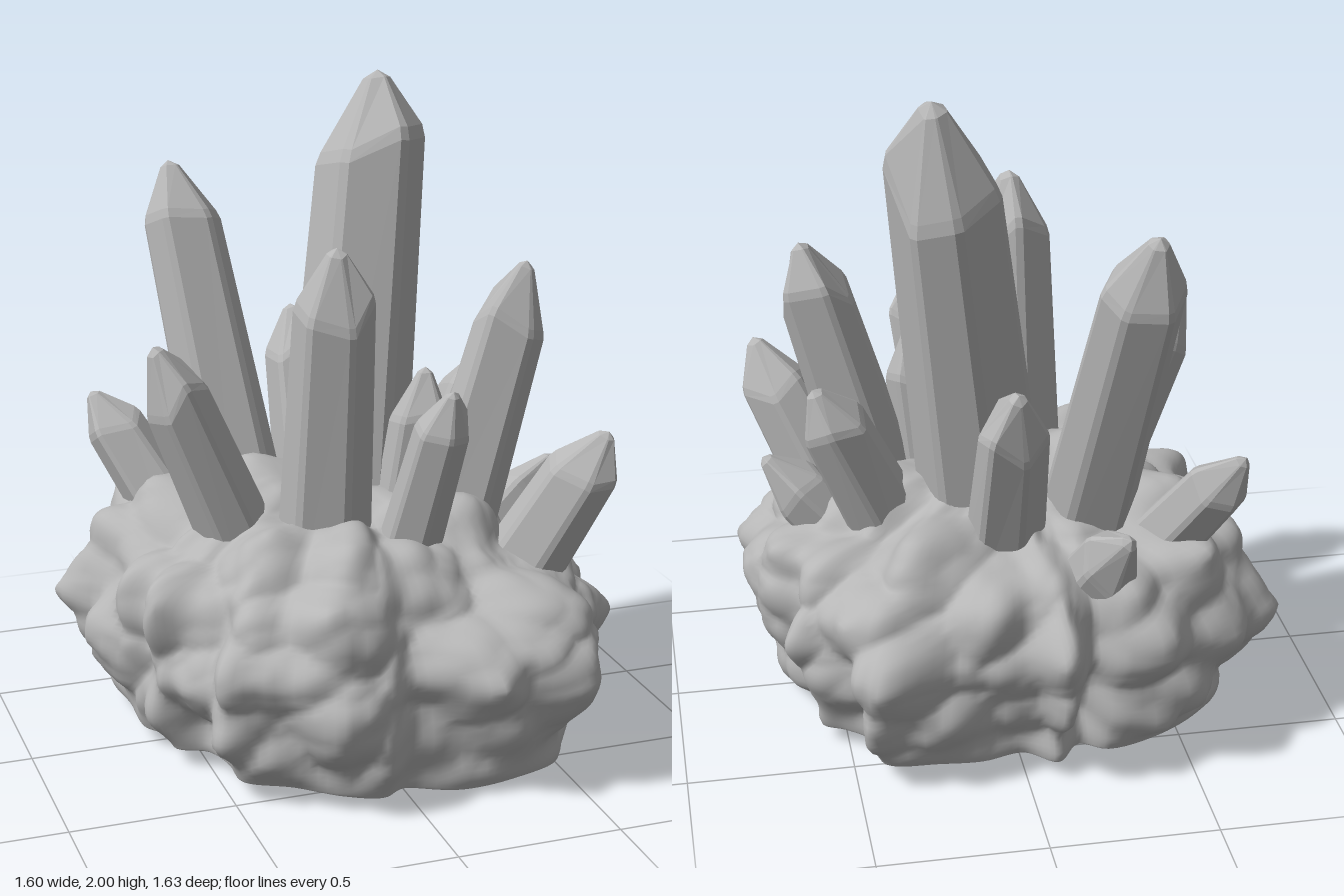
import * as THREE from 'three';

const stone = new THREE.MeshStandardMaterial({ color: 0xb6b6b6 });
stone.name = 'grey stone';

// small repeatable hash, 0..1
const hash = (x, y, z) => {
  const s = Math.sin(x * 127.1 + y * 311.7 + z * 74.7) * 43758.5453;
  return s - Math.floor(s);
};

// distance to the nearest scattered point: gives lumps with creases between
function lumps(p, cell) {
  const q = p.clone().divideScalar(cell);
  const fx = Math.floor(q.x), fy = Math.floor(q.y), fz = Math.floor(q.z);
  let best = 9;
  for (let i = fx - 1; i <= fx + 1; i++)
    for (let j = fy - 1; j <= fy + 1; j++)
      for (let k = fz - 1; k <= fz + 1; k++) {
        const d = Math.hypot(
          i + hash(i, j, k) - q.x,
          j + hash(j + 17, k, i) - q.y,
          k + hash(k + 41, i, j) - q.z);
        best = Math.min(best, d);
      }
  return best;
}

// skin a list of closed rings, listed from bottom to top
function loft(rings) {
  const n = rings[0].length, index = [];
  for (let i = 0; i < rings.length - 1; i++)
    for (let j = 0; j < n; j++) {
      const a = i * n + j, b = i * n + (j + 1) % n;
      index.push(a, a + n, b, b, a + n, b + n);
    }
  const g = new THREE.BufferGeometry().setFromPoints(rings.flat());
  g.setIndex(index);
  return g;
}

// rugged rock: a rounded profile swept round an uneven outline
function rockGeometry() {
  const outline = [
    [0.79, 0], [0.73, 0.1], [0.74, 0.35], [0.68, 0.5], [0.6, 0.65], [0.53, 0.75], [0.35, 0.78],
    [0.2, 0.76], [0, 0.69], [-0.12, 0.78], [-0.25, 0.75], [-0.4, 0.64], [-0.55, 0.55],
    [-0.56, 0.4], [-0.6, 0.28], [-0.7, 0.22], [-0.7, 0.1], [-0.76, 0.01], [-0.76, -0.2],
    [-0.77, -0.42], [-0.67, -0.55], [-0.5, -0.67], [-0.3, -0.73], [-0.2, -0.68], [-0.11, -0.78],
    [0, -0.7], [0.15, -0.73], [0.3, -0.72], [0.49, -0.69], [0.52, -0.53], [0.6, -0.45],
    [0.68, -0.4], [0.65, -0.25], [0.72, -0.15],
  ].map(([x, z]) => new THREE.Vector3(x, 0, z));
  const edge = new THREE.CatmullRomCurve3(outline, true, 'centripetal').getPoints(204).slice(0, -1);
  const profile = new THREE.SplineCurve([
    [0, 0.05], [0.5, 0.05], [0.8, 0.05], [0.86, 0.07], [0.92, 0.18], [0.97, 0.3], [0.99, 0.4],
    [0.95, 0.51], [0.87, 0.6], [0.72, 0.67], [0.53, 0.75], [0.3, 0.81], [0, 0.83],
  ].map(([r, y]) => new THREE.Vector2(r, y))).getPoints(84);

  const rings = profile.map(({ x: r, y }) => edge.map((e) => {
    const p = new THREE.Vector3(e.x * r, y, e.z * r);
    const out = new THREE.Vector3(p.x, (y - 0.3) * 1.2, p.z).normalize();
    const rough = THREE.MathUtils.smoothstep(y, 0.05, 0.16);
    const d = 0.068 - 0.155 * lumps(p, 0.25) + 0.012 - 0.03 * lumps(p, 0.12);
    p.addScaledVector(out, d * rough);
    // top leans down to the front left, underside sags a little at the front
    p.y -= (0.03 * p.z + 0.05 * p.x) * THREE.MathUtils.smoothstep(y, 0.4, 0.65);
    const sag = Math.exp(-((p.x - 0.12) ** 2 + (p.z - 0.55) ** 2) / 0.06);
    p.y -= 0.05 * sag * (1 - THREE.MathUtils.smoothstep(y, 0.05, 0.3));
    p.y = Math.max(p.y, 0);
    return p;
  }));
  const g = loft(rings);
  g.computeVertexNormals();
  return g;
}

// six-sided tapering crystal with bevelled edges and an uneven pointed end
function crystalGeometry(base, tip, radius, turn, seed) {
  const from = new THREE.Vector3(...base), to = new THREE.Vector3(...tip);
  const length = from.distanceTo(to);
  const axis = to.clone().sub(from).normalize();
  const tilt = new THREE.Quaternion().setFromUnitVectors(new THREE.Vector3(0, 1, 0), axis);
  const corners = [];
  for (let k = 0; k < 6; k++) {
    const a = turn + (k + 0.3 * (hash(seed, k, 1) - 0.5)) * Math.PI / 3;
    const r = radius * (0.93 + 0.17 * hash(seed, k, 2));
    corners.push({ x: r * Math.cos(a), z: r * Math.sin(a), drop: radius * (0.9 + 0.9 * hash(seed, k, 3)) });
  }
  // cut each corner into two close points
  const section = [];
  corners.forEach((c, k) => [corners[(k + 5) % 6], corners[(k + 1) % 6]].forEach((o) => section.push({
    x: c.x + (o.x - c.x) * 0.1, z: c.z + (o.z - c.z) * 0.1, drop: c.drop,
  })));
  const ring = (scale, height) => section.map((s) =>
    new THREE.Vector3(s.x * scale, height(s), s.z * scale).applyQuaternion(tilt).add(from));
  const g = loft([
    ring(1.16, () => 0),
    ring(0.96, (s) => length - s.drop - radius * 0.14),
    ring(0.89, (s) => length - s.drop + radius * 0.08),
    ring(0.24, (s) => length - s.drop * 0.11),
    ring(0, () => length),
  ]).toNonIndexed();
  g.computeVertexNormals();
  return g;
}

export function createModel() {
  const model = new THREE.Group();
  model.name = 'crystalCluster';
  const add = (name, geometry) => {
    const mesh = new THREE.Mesh(geometry, stone);
    mesh.name = name;
    model.add(mesh);
  };

  add('rockBase', rockGeometry());

  // name, foot, tip, radius, turn
  const crystals = [
    ['tallestCrystal', [0.03, 0.5, -0.09], [0.21, 2, -0.275], 0.182, 0.3],
    ['tallBackCrystal', [-0.24, 0.5, -0.19], [-0.365, 1.69, -0.62], 0.134, 0.1],
    ['frontCrystal', [-0.11, 0.5, 0.14], [-0.105, 1.59, 0.26], 0.138, 0.5],
    ['rightCrystal', [-0.28, 0.5, 0.03], [-0.6, 1.28, 0.04], 0.114, 0.2],
    ['leftCrystal', [0.29, 0.5, 0.09], [0.56, 1.46, 0.1], 0.122, 0.4],
    ['frontSmallCrystal', [0.09, 0.5, 0.25], [0.19, 1.18, 0.44], 0.09, 0.6],
    ['middleSmallCrystal', [0.15, 0.5, 0.08], [0.23, 1.16, 0.11], 0.1, 0.3],
    ['leftFrontCrystal', [0.42, 0.45, 0.28], [0.685, 1.01, 0.45], 0.115, 0.8],
    ['backCrystal', [0, 0.5, -0.25], [0.01, 1.21, -0.54], 0.114, 0.2],
    ['leftBackCrystal', [0.29, 0.5, -0.1], [0.56, 1.11, -0.19], 0.112, 0.7],
    ['rightBackCrystal', [-0.4, 0.5, -0.32], [-0.65, 0.97, -0.57], 0.1, 0.1],
    ['leftLowCrystal', [0.43, 0.5, 0], [0.7, 0.8, 0.02], 0.1, 0.4],
    ['backLowCrystal', [-0.21, 0.48, -0.45], [-0.29, 0.8, -0.69], 0.11, 0.5],
  ];
  crystals.forEach(([name, foot, tip, radius, turn], i) =>
    add(name, crystalGeometry(foot, tip, radius, turn, i + 1)));

  return model;
}
